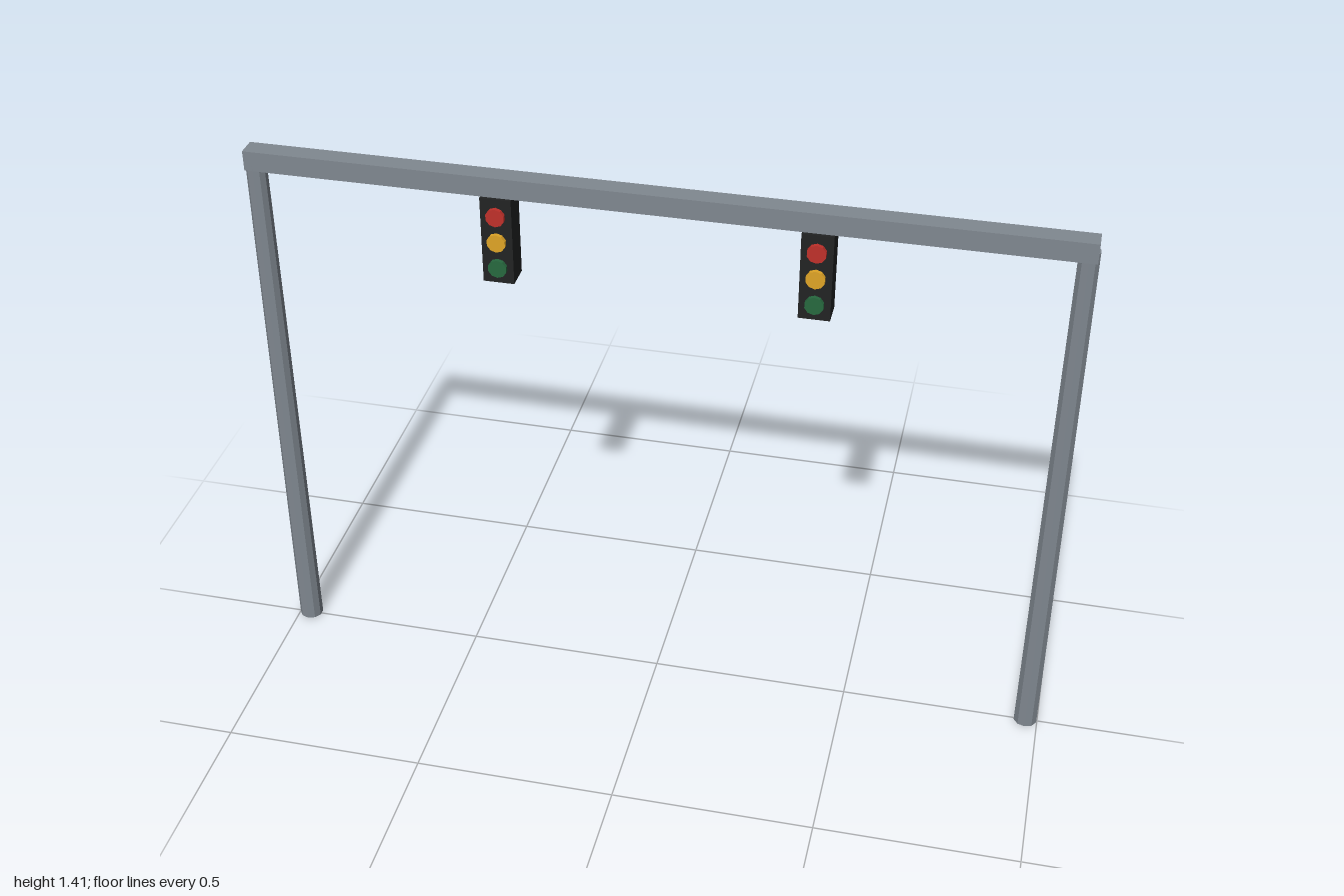
import * as THREE from 'three';

const mat = (name, color) => {
  const m = new THREE.MeshStandardMaterial({ color, flatShading: true });
  m.name = name;
  return m;
};

export function createModel() {
  const steel = mat('steel grey', 0x808890);
  const black = mat('housing black', 0x222323);
  const lamps = [
    ['redLamp', mat('red', 0xc0302a), 1.316],
    ['amberLamp', mat('amber', 0xe0a526), 1.249],
    ['greenLamp', mat('green', 0x27693f), 1.181],
  ];
  const model = new THREE.Group();
  model.name = 'trafficLightGantry';
  const Z = -0.003; // shared centre plane; only the lamps stand proud of it

  const add = (name, geometry, material, x, y, z, parent = model) => {
    const mesh = new THREE.Mesh(geometry, material);
    mesh.name = name;
    mesh.position.set(x, y, z);
    parent.add(mesh);
    return mesh;
  };

  // Crossbeam
  add('beam', new THREE.BoxGeometry(1.98, 0.05, 0.05), steel, 0, 1.385, Z);

  // Tapered posts and hanging signals, mirrored
  const postGeo = new THREE.CylinderGeometry(0.025, 0.03, 1.38, 10);
  const housingGeo = new THREE.BoxGeometry(0.075, 0.22, 0.064);
  const lampGeo = new THREE.CylinderGeometry(0.023, 0.023, 0.014, 10).rotateX(Math.PI / 2);
  for (const [side, s] of [['left', 1], ['right', -1]]) {
    add(side + 'Post', postGeo, steel, s * 0.97, 0.69, Z);

    const signal = new THREE.Group();
    signal.name = side + 'Signal';
    signal.position.x = s * 0.375;
    model.add(signal);
    add('housing', housingGeo, black, 0, 1.25, Z, signal);
    for (const [name, material, y] of lamps) add(name, lampGeo, material, 0, y, 0.032, signal);
  }
  return model;
}
